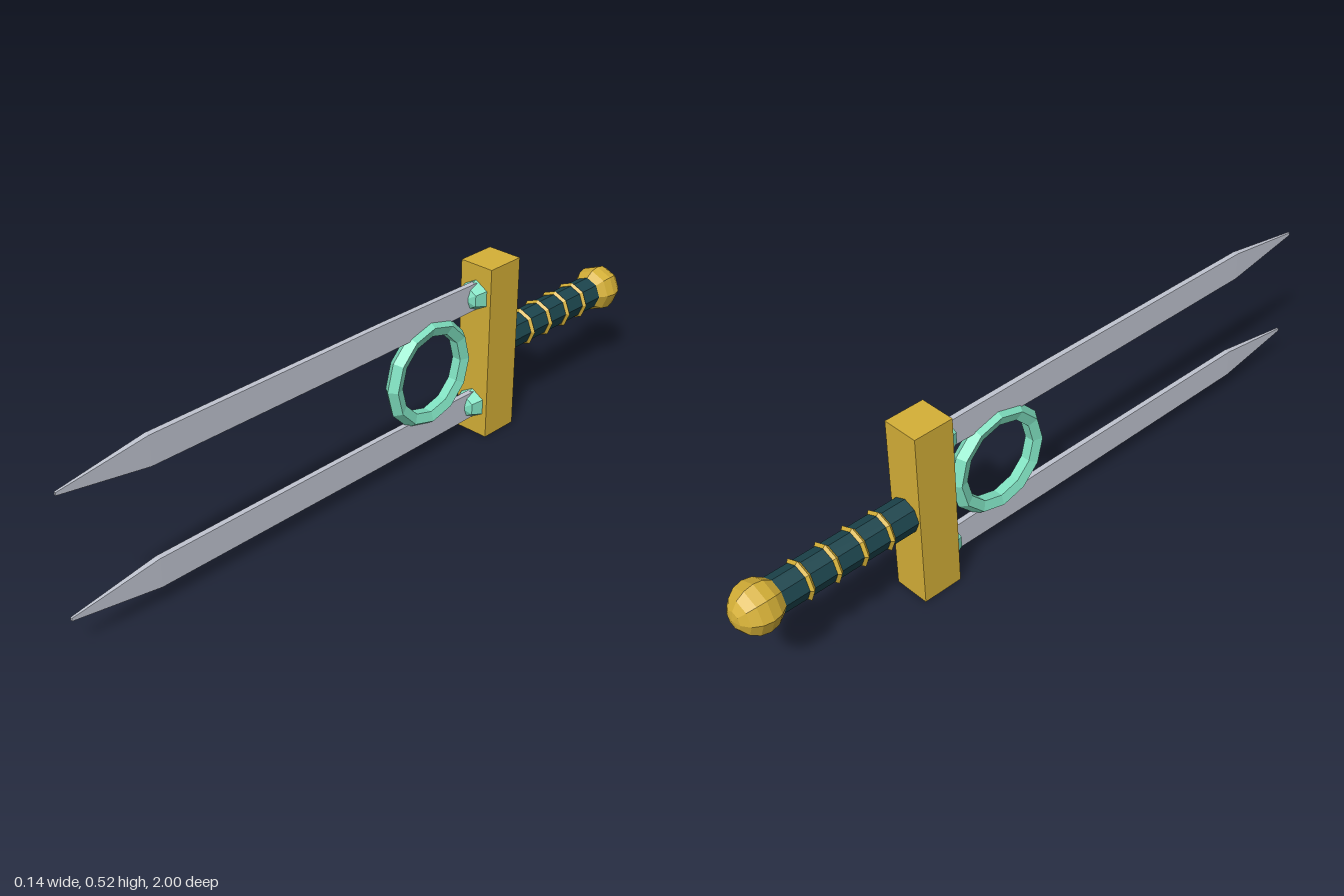
import * as THREE from 'three';

const mat = (color) => new THREE.MeshStandardMaterial({ color, flatShading: true });

export function createModel() {
  const group = new THREE.Group();
  const gold = mat(0xd4af37), steel = mat(0xc0c4d0), teal = mat(0x1c454d), mint = mat(0x7fe0c0);
  const midY = 0.26;

  const add = (name, geometry, material, x, y, z) => {
    const mesh = new THREE.Mesh(geometry, material);
    mesh.name = name;
    mesh.position.set(x, y, z);
    group.add(mesh);
    return mesh;
  };

  // Crossguard block
  add('guard', new THREE.BoxGeometry(0.106, 0.517, 0.118), gold, 0, 0.2585, -0.429);

  // Grip with its gold bands and pommel
  add('grip', new THREE.CylinderGeometry(0.048, 0.048, 0.45, 8).rotateX(Math.PI / 2), teal, 0, midY, -0.695);
  for (let i = 0; i < 4; i++) {
    add('gripBand' + (i + 1), new THREE.TorusGeometry(0.049, 0.0075, 4, 8), gold, 0, midY, -0.57 - i * 0.08);
  }
  add('pommel', new THREE.SphereGeometry(0.068, 8, 8).rotateX(Math.PI / 2), gold, 0, midY, -0.932);

  // Ring held between the blades
  add('ring', new THREE.TorusGeometry(0.134, 0.024, 5, 12).rotateY(-Math.PI / 2), mint, 0, midY, -0.183);

  // Blade: a box with its cross-sections set along z as [z, half height, half thickness]
  const sections = [
    [-0.4, 0.039, 0.008], [-0.25, 0.041, 0.008], [0, 0.043, 0.008],
    [0.75, 0.041, 0.008], [1, 0.004, 0.003],
  ];
  const bladeGeometry = new THREE.BoxGeometry(2, 2, 1, 1, 1, sections.length - 1);
  const p = bladeGeometry.attributes.position;
  for (let i = 0; i < p.count; i++) {
    const [z, h, t] = sections[Math.round((p.getZ(i) + 0.5) * (sections.length - 1))];
    p.setXYZ(i, p.getX(i) * t, p.getY(i) * h, z);
  }
  bladeGeometry.computeVertexNormals();

  // Twin blades, each with a faceted gem at its root
  const gemGeometry = new THREE.SphereGeometry(0.045, 6, 4).rotateX(Math.PI / 2).rotateZ(Math.PI / 2);
  for (const [side, y] of [['upper', 0.428], ['lower', 0.092]]) {
    add(side + 'Blade', bladeGeometry, steel, 0, y, 0);
    add(side + 'Gem', gemGeometry, mint, 0, y, -0.37);
  }
  return group;
}
